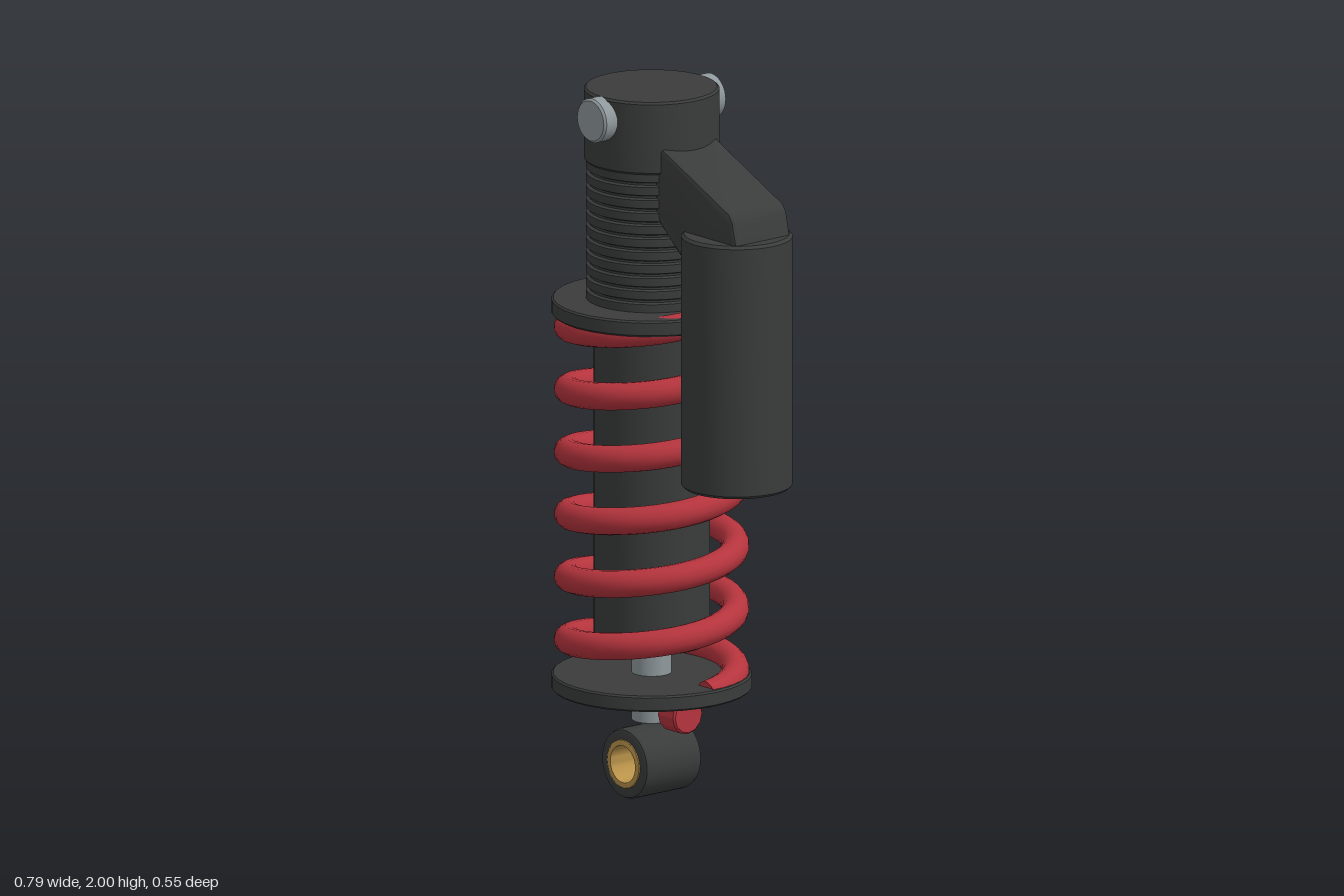
import * as THREE from 'three';
import { toCreasedNormals } from 'three/addons/utils/BufferGeometryUtils.js';

const mat = (color) => new THREE.MeshStandardMaterial({ color });
const AXIS = -0.12; // x of the main damper axis

export function createModel() {
  const model = new THREE.Group();
  const dark = mat(0x3a3c3b), red = mat(0xb5343d), steel = mat(0x8f989c), brass = mat(0xb8924a);

  const add = (name, geometry, material, x = 0, y = 0, z = 0) => {
    const mesh = new THREE.Mesh(geometry, material);
    mesh.name = name;
    mesh.position.set(x, y, z);
    model.add(mesh);
    return mesh;
  };
  // Turned solid from [radius, height] pairs, bottom to top
  const turned = (pts, sides = 40) => toCreasedNormals(
    new THREE.LatheGeometry(pts.map(([r, y]) => new THREE.Vector2(r, y)), sides), 0.5);
  // Cylinder with small chamfers at both ends
  const rod = (r, y0, y1, c = 0.006, sides = 40) => turned(
    [[0, y0], [r - c, y0], [r, y0 + c], [r, y1 - c], [r - c, y1], [0, y1]], sides);
  // Tube ring with chamfered outer edges, centred on its own axis
  const ring = (ri, ro, h, c) => turned([[ri, -h], [ro - c, -h], [ro - c * 0.3, -h + c * 0.3], [ro, -h + c],
    [ro, h - c], [ro - c * 0.3, h - c * 0.3], [ro - c, h], [ri, h], [ri, -h]]);

  // Damper: top cap, body, shaft
  add('topCap', rod(0.186, 1.795, 2), dark, AXIS);
  add('damperBody', rod(0.16, 0.43, 1.42), dark, AXIS);
  add('shaft', rod(0.055, 0.21, 0.5, 0.002), steel, AXIS);

  // Threaded collar: stacked ribs with narrow grooves
  const ribs = 11, y0 = 1.395, pitch = (1.8 - y0) / ribs;
  const thread = [[0, y0]];
  for (let i = 0; i < ribs; i++) {
    const y = y0 + i * pitch;
    thread.push([0.171, y], [0.171, y + 0.006], [0.18, y + 0.01], [0.18, y + pitch - 0.004]);
  }
  thread.push([0.171, 1.8], [0, 1.8]);
  add('threadedCollar', turned(thread), dark, AXIS);

  // Spring seats
  add('upperSpringSeat', rod(0.275, 1.36, 1.405, 0.005, 32), dark, AXIS);
  add('lowerSpringSeat', rod(0.275, 0.3, 0.345, 0.005, 32), dark, AXIS);

  // Coil spring: six turns, ends sunk into the seats
  const R = 0.23, wire = 0.038, turns = 6, low = 0.325, high = 1.385;
  class Helix extends THREE.Curve {
    getPoint(t, out = new THREE.Vector3()) {
      const a = t * turns * Math.PI * 2;
      return out.set(R * Math.cos(a), low + (high - low) * t, -R * Math.sin(a));
    }
  }
  add('spring', new THREE.TubeGeometry(new Helix(), 240, wire, 14), red, AXIS);
  const end = new THREE.CircleGeometry(wire, 14);
  add('springEndLower', end, red, AXIS + R, low, 0);
  add('springEndUpper', end, red, AXIS + R, high, 0).rotation.y = Math.PI;

  // Mounting pins on the cap, front and back
  for (const s of [1, -1]) {
    const pin = add(s > 0 ? 'frontPin' : 'backPin', rod(0.062, 0, 0.12, 0.006, 32), steel, AXIS, 1.938, s * 0.1);
    pin.rotation.x = s * Math.PI / 2;
  }

  // Lower eyelet with bushing
  add('lowerEyelet', ring(0.064, 0.098, 0.1, 0.012), dark, AXIS, 0.1).rotation.x = Math.PI / 2;
  add('eyeletBushing', ring(0.052, 0.068, 0.104, 0.004), brass, AXIS, 0.1).rotation.x = Math.PI / 2;

  // Rebound knob under the lower seat
  add('reboundKnob', rod(0.053, -0.036, 0.036, 0.005, 12), red, 0, 0.25).rotation.z = Math.PI / 2;

  // Side reservoir
  add('reservoir', rod(0.153, 0.94, 1.655, 0.008), dark, 0.239);

  // Arm bridging cap and reservoir
  const profile = new THREE.Shape([[-0.02, 1.7], [0.115, 1.58], [0.13, 1.645], [0.352, 1.645],
    [0.335, 1.72], [0.32, 1.74], [0.04, 1.868], [-0.02, 1.868]].map(([x, y]) => new THREE.Vector2(x, y)));
  const b = 0.012;
  const arm = new THREE.ExtrudeGeometry(profile, {
    depth: 0.2 - 2 * b, bevelSize: b, bevelThickness: b, bevelOffset: -b, bevelSegments: 2,
  });
  arm.translate(0, 0, -0.1 + b);
  add('reservoirArm', toCreasedNormals(arm, 0.5), dark);

  return model;
}
